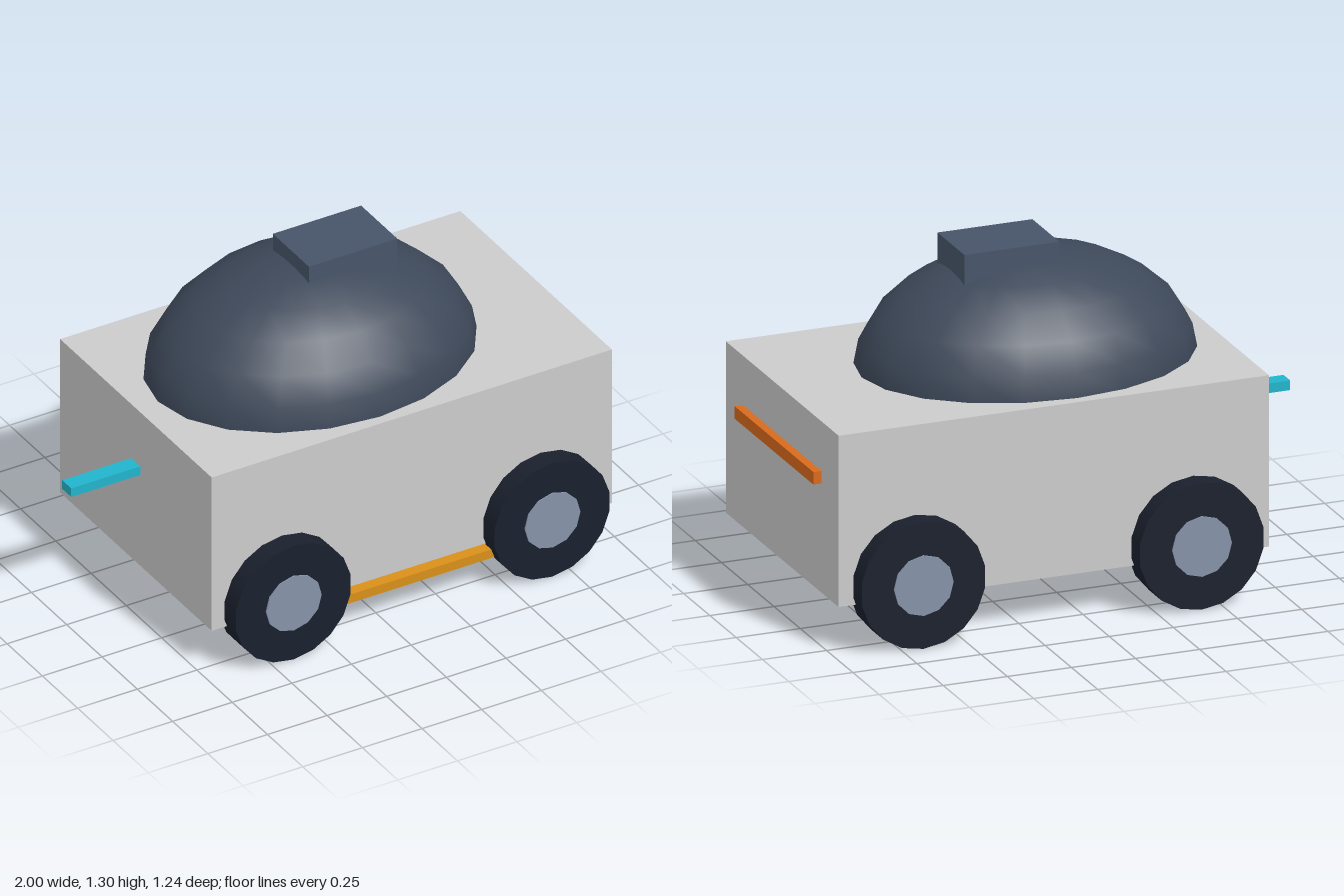
import * as THREE from 'three';

const mat = (color) => new THREE.MeshStandardMaterial({ color });

export function createModel() {
  const model = new THREE.Group();
  model.name = 'vehicle';

  const add = (name, geometry, material, x, y, z) => {
    const mesh = new THREE.Mesh(geometry, material);
    mesh.name = name;
    mesh.position.set(x, y, z);
    model.add(mesh);
    return mesh;
  };
  // Box given by its minimum and maximum corners
  const box = (name, color, [x0, y0, z0], [x1, y1, z1]) =>
    add(name, new THREE.BoxGeometry(x1 - x0, y1 - y0, z1 - z0), mat(color),
      (x0 + x1) / 2, (y0 + y1) / 2, (z0 + z1) / 2);

  // Hull
  box('body', 0xcccccc, [-0.71, 0.175, -0.537], [0.968, 0.833, 0.537]);

  // Half-ellipsoid dome, its rim sunk slightly into the deck
  const dome = add('dome',
    new THREE.SphereGeometry(1, 20, 6, 0, Math.PI * 2, 0, Math.PI / 2),
    mat(0x3d4859), 0.02, 0.811, 0);
  dome.scale.set(0.643, 0.435, 0.5);

  // Hatch on top of the dome
  box('hatch', 0x475569, [-0.06, 1.16, -0.128], [0.31, 1.298, 0.128]);

  // Light bar, tail rod and side rail
  box('lightBar', 0xd86a1c, [0.96, 0.595, -0.375], [1, 0.643, 0.375]);
  box('tailRod', 0x22b4cc, [-1, 0.565, -0.032], [-0.7, 0.602, 0.032]);
  box('sideRail', 0xd9901a, [-0.415, 0.128, 0.505], [0.67, 0.165, 0.569]);

  // Wheels with hubs showing on both faces
  const tireGeometry = new THREE.CylinderGeometry(0.244, 0.244, 0.117, 18).rotateX(Math.PI / 2);
  const hubGeometry = new THREE.CylinderGeometry(0.116, 0.116, 0.128, 12).rotateX(Math.PI / 2);
  const rubber = mat(0x1a202d);
  const metal = mat(0x8593a8);
  for (const x of [-0.415, 0.67]) {
    for (const side of [-1, 1]) {
      add('tire', tireGeometry, rubber, x, 0.244, side * 0.558);
      add('hub', hubGeometry, metal, x, 0.244, side * 0.558);
    }
  }

  return model;
}
